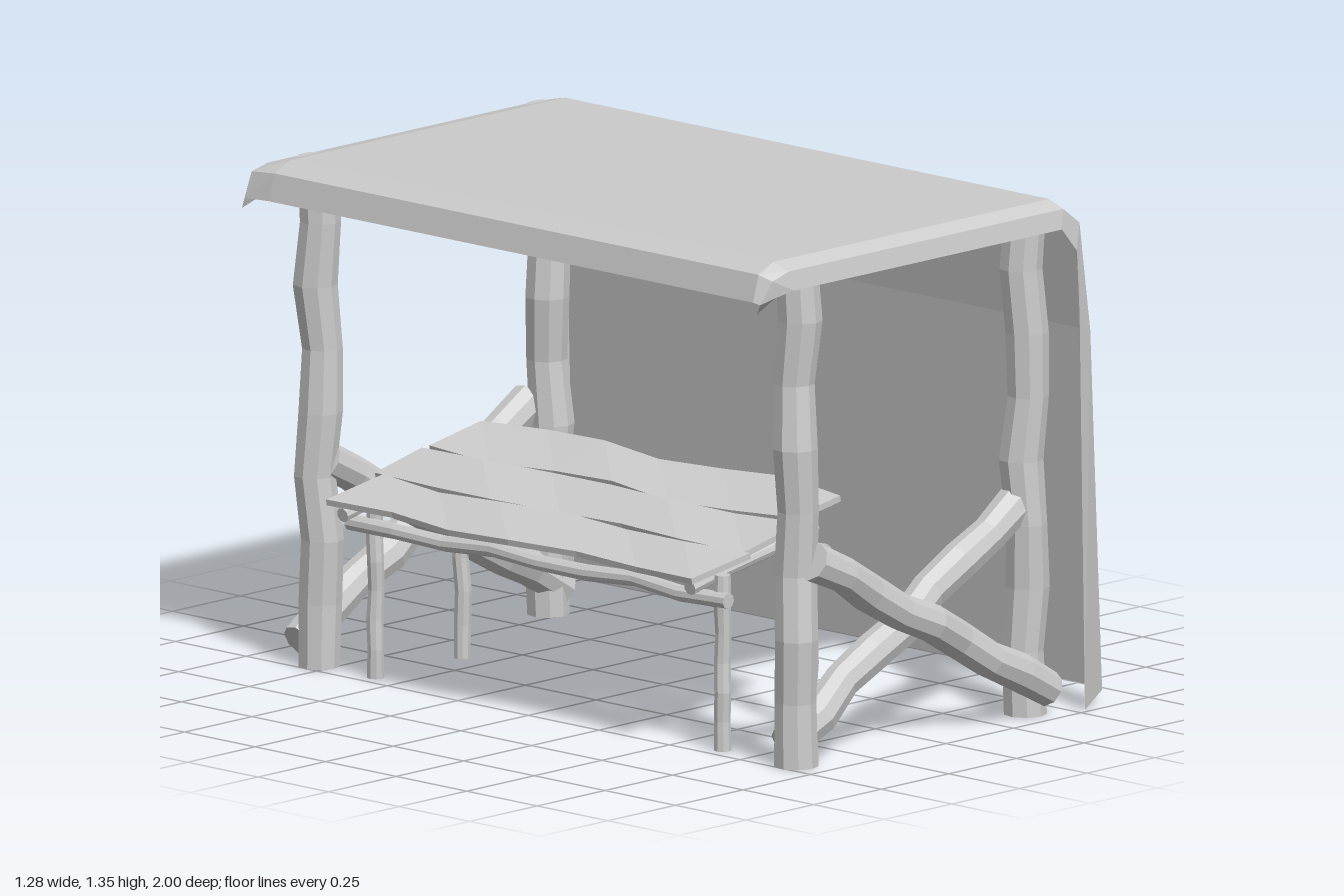
import * as THREE from 'three';

const grey = new THREE.MeshStandardMaterial({ color: 0xcccccc, flatShading: true });
const greySheet = new THREE.MeshStandardMaterial({ color: 0xcccccc, flatShading: true, side: THREE.DoubleSide });

// Rough log between two points: rings drift sideways and vary in girth.
function log(name, from, to, radius, rings, seed, wobble = 0.15, sides = 9) {
  const a = new THREE.Vector3(...from), b = new THREE.Vector3(...to);
  const geo = new THREE.CylinderGeometry(radius, radius, a.distanceTo(b), sides, rings);
  const pos = geo.attributes.position;
  const len = a.distanceTo(b);
  for (let i = 0; i < pos.count; i++) {
    const k = Math.round((pos.getY(i) / len + 0.5) * rings);
    const inner = k > 0 && k < rings ? 1 : 0;
    const girth = 1 + 0.05 * Math.sin(k * 2.7 + seed);
    const dx = inner * radius * wobble * Math.sin(k * 1.9 + seed * 1.3);
    const dz = inner * radius * wobble * Math.cos(k * 2.3 + seed * 2.1);
    pos.setXYZ(i, pos.getX(i) * girth + dx, pos.getY(i), pos.getZ(i) * girth + dz);
  }
  const mesh = new THREE.Mesh(geo, grey);
  mesh.name = name;
  mesh.position.copy(a).add(b).multiplyScalar(0.5);
  mesh.quaternion.setFromUnitVectors(new THREE.Vector3(0, 1, 0), b.clone().sub(a).normalize());
  return mesh;
}

// Cloth: cross-sections run from the short left hem, over the roof, down the long side.
function cloth() {
  const top = (z, zLow) => [[-0.645, 1.26, z], [-0.625, 1.33, z], [-0.57, 1.355, z],
    [0.45, 1.355, z], [0.515, 1.3, z], [0.56, 1.0, z], [0.64, 0.045, zLow]];
  const rows = [
    [[-0.625, 1.225, 0.93], [-0.6, 1.27, 0.97], [-0.55, 1.285, 0.99],
      [0.44, 1.285, 0.99], [0.495, 1.22, 0.99], [0.505, 1.05, 0.99], [0.53, 0.01, 0.985]],
    [[-0.64, 1.255, 0.955], [-0.61, 1.315, 0.97], [-0.56, 1.335, 0.98],
      [0.455, 1.335, 0.98], [0.515, 1.29, 0.98], [0.56, 1.0, 0.975], [0.635, 0.04, 0.945]],
    top(0.935, 0.9),
    top(-0.78, -0.83),
    [[-0.64, 1.255, -0.87], [-0.615, 1.32, -0.87], [-0.56, 1.335, -0.865],
      [0.455, 1.335, -0.865], [0.515, 1.3, -0.87], [0.56, 1.0, -0.88], [0.64, 0.045, -0.93]],
    [[-0.62, 1.22, -0.9], [-0.53, 1.24, -0.91], [-0.53, 1.285, -0.88],
      [0.42, 1.285, -0.88], [0.5, 1.24, -0.915], [0.52, 1.05, -0.89], [0.58, 0.05, -1.0]],
  ];
  const n = rows[0].length, index = [];
  for (let r = 0; r < rows.length - 1; r++) {
    for (let c = 0; c < n - 1; c++) {
      const p = r * n + c;
      index.push(p, p + 1, p + n, p + 1, p + n + 1, p + n);
    }
  }
  const geo = new THREE.BufferGeometry();
  geo.setAttribute('position', new THREE.Float32BufferAttribute(rows.flat(2), 3));
  geo.setIndex(index);
  geo.computeVertexNormals();
  const mesh = new THREE.Mesh(geo, greySheet);
  mesh.name = 'clothCanopy';
  return mesh;
}

// Plank with hewn, wavy long edges, lying along z.
function plank(x, y, width, z0, z1, tilt, seed) {
  const geo = new THREE.BoxGeometry(width, 0.016, z1 - z0, 1, 1, 6);
  const pos = geo.attributes.position;
  for (let i = 0; i < pos.count; i++) {
    const k = Math.round((pos.getZ(i) / (z1 - z0) + 0.5) * 6);
    const side = Math.sign(pos.getX(i));
    pos.setX(i, pos.getX(i) + 0.016 * Math.sin(k * 1.8 + seed + side));
    pos.setY(i, pos.getY(i) + 0.006 * Math.sin(k * 2.1 + seed * 2 + side));
  }
  const mesh = new THREE.Mesh(geo, grey);
  mesh.name = 'tablePlank';
  mesh.position.set(x, y, (z0 + z1) / 2);
  mesh.rotation.z = tilt;
  return mesh;
}

export function createModel() {
  const group = new THREE.Group();
  group.name = 'marketStall';
  group.add(cloth());

  // Corner posts and crossed braces, outermost brace mirrored between the ends
  [[0.9, 1], [-0.79, -1]].forEach(([z, out], e) => {
    [-0.45, 0.397].forEach((x, i) =>
      group.add(log('cornerPost', [x, 0.01, z], [x, 1.345, z], 0.056, 8, e * 3 + i * 2 + 1)));
    const outer = z + out * 0.045, inner = z - out * 0.01;
    const zFall = out > 0 ? outer : inner, zRise = out > 0 ? inner : outer;
    group.add(log('fallingBrace', [-0.44, 0.55, zFall], [0.435, 0.075, zFall], 0.05, 8, e + 2));
    group.add(log('risingBrace', [-0.475, 0.07, zRise], [0.375, 0.565, zRise], 0.05, 8, e + 5));
  });

  // Table frame: thin legs, sloping cross bars and long rails
  [0.64, -0.59].forEach((z, e) => {
    group.add(log('tableLeg', [-0.45, 0.01, z], [-0.45, 0.47, z], 0.022, 6, e + 1));
    group.add(log('tableLeg', [-0.13, 0.01, z], [-0.13, 0.54, z], 0.022, 6, e + 3));
    group.add(log('crossBar', [-0.54, 0.445, z - 0.03], [-0.08, 0.53, z - 0.03], 0.019, 4, e + 2));
  });
  group.add(log('tableRail', [-0.11, 0.48, -0.66], [-0.11, 0.48, 0.68], 0.021, 8, 4, 0.3));
  group.add(log('tableRail', [-0.47, 0.41, -0.66], [-0.47, 0.41, 0.68], 0.021, 8, 7, 0.3));

  // Sloping table top
  group.add(plank(-0.48, 0.494, 0.2, -0.64, 0.67, 0.17, 1));
  group.add(plank(-0.275, 0.531, 0.2, -0.68, 0.64, 0.19, 2.6));
  group.add(plank(-0.072, 0.573, 0.2, -0.66, 0.61, 0.22, 4.5));
  return group;
}
